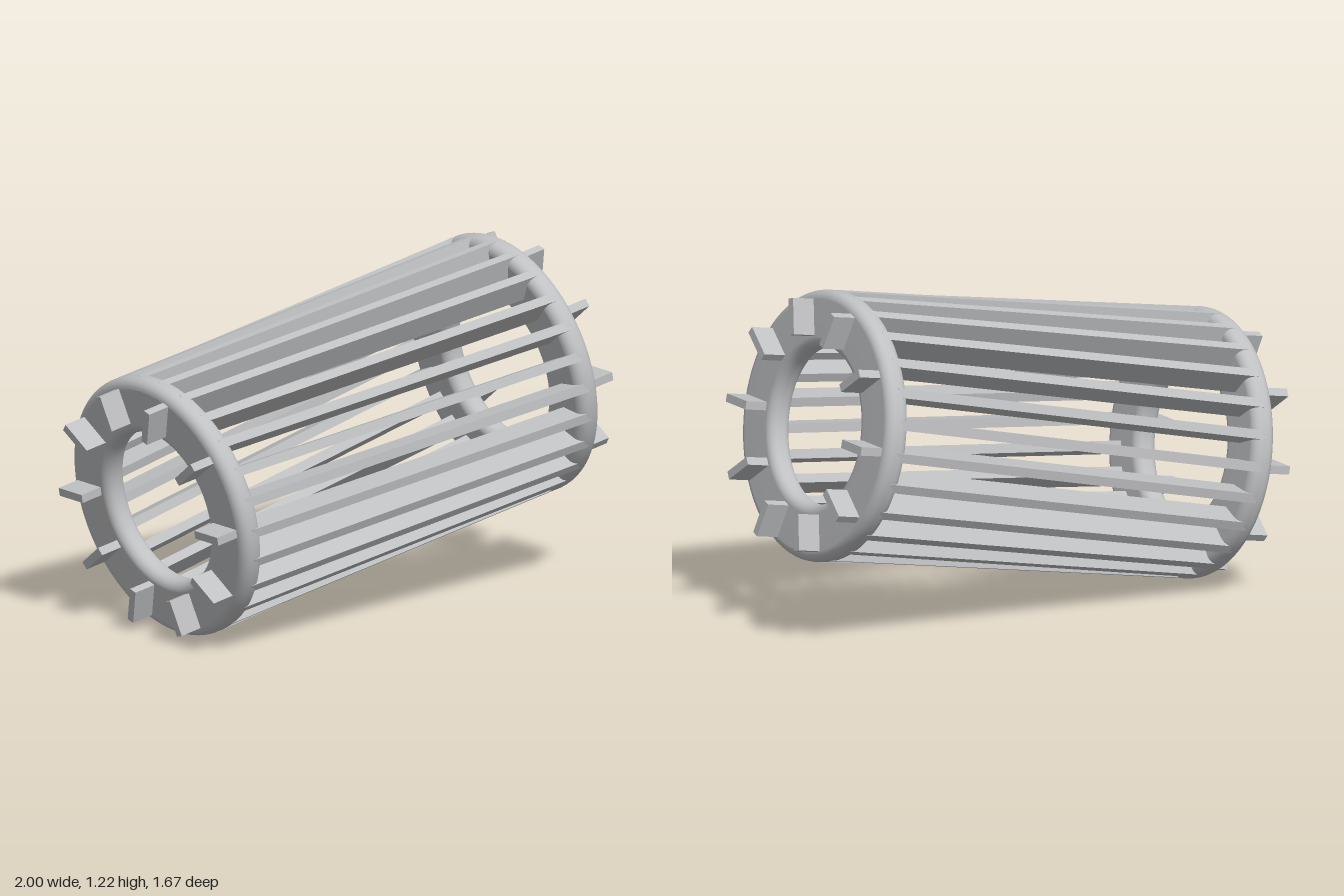
import * as THREE from 'three';

const HALF = 0.775;      // distance from centre to each end ring
const BARS = 26;
const BLADES = 10;
const SKEW = 0.06;       // tilt of every bar against the axis

// Ring with a rounded rectangular section, turned around local y
function ringGeometry(inner, outer, halfThickness, round) {
  const corners = [
    [outer - round, -halfThickness + round, -Math.PI / 2],
    [outer - round, halfThickness - round, 0],
    [inner + round, halfThickness - round, Math.PI / 2],
    [inner + round, -halfThickness + round, Math.PI],
  ];
  const profile = [];
  for (const [x, y, start] of corners) {
    for (let i = 0; i <= 6; i++) {
      const a = start + (i / 6) * (Math.PI / 2);
      profile.push(new THREE.Vector2(x + round * Math.cos(a), y + round * Math.sin(a)));
    }
  }
  profile.push(profile[0].clone());
  return new THREE.LatheGeometry(profile, 96);
}

export function createModel() {
  const model = new THREE.Group();
  model.name = 'squirrelCageRotor';
  const metal = new THREE.MeshStandardMaterial({ color: 0xbfc0c2 });
  metal.name = 'castGrey';

  // The cage axis is local x, turned and pitched as a whole
  const cage = new THREE.Group();
  cage.name = 'cage';
  cage.rotation.set(0, Math.PI / 6, Math.PI / 18, 'YZX');
  cage.position.y = 0.62;
  model.add(cage);

  // Repeats a box around the axis at a given radius
  const addAround = (name, geometry, count, phase, x, radius, tilt) => {
    for (let i = 0; i < count; i++) {
      const pivot = new THREE.Group();
      pivot.name = name;
      pivot.rotation.x = ((i + phase) / count) * Math.PI * 2;
      const mesh = new THREE.Mesh(geometry, metal);
      mesh.name = name;
      mesh.position.set(x, 0, radius);
      mesh.rotation.z = tilt;
      pivot.add(mesh);
      cage.add(pivot);
    }
  };

  // End rings with fan blades on their outer faces
  const endRing = ringGeometry(0.279, 0.482, 0.045, 0.035);
  endRing.rotateZ(-Math.PI / 2);
  const bladeGeometry = new THREE.BoxGeometry(0.13, 0.03, 0.13);
  for (const side of [-1, 1]) {
    const ring = new THREE.Mesh(endRing, metal);
    ring.name = 'endRing';
    ring.position.x = side * HALF;
    cage.add(ring);
    addAround('fanBlade', bladeGeometry, BLADES, 0, side * 0.842, 0.384, 0);
  }

  // Skewed conductor bars between the rings
  const barGeometry = new THREE.BoxGeometry(HALF * 2, 0.034, 0.1);
  addAround('conductorBar', barGeometry, BARS, 0.5, 0, 0.429, -SKEW);

  return model;
}
